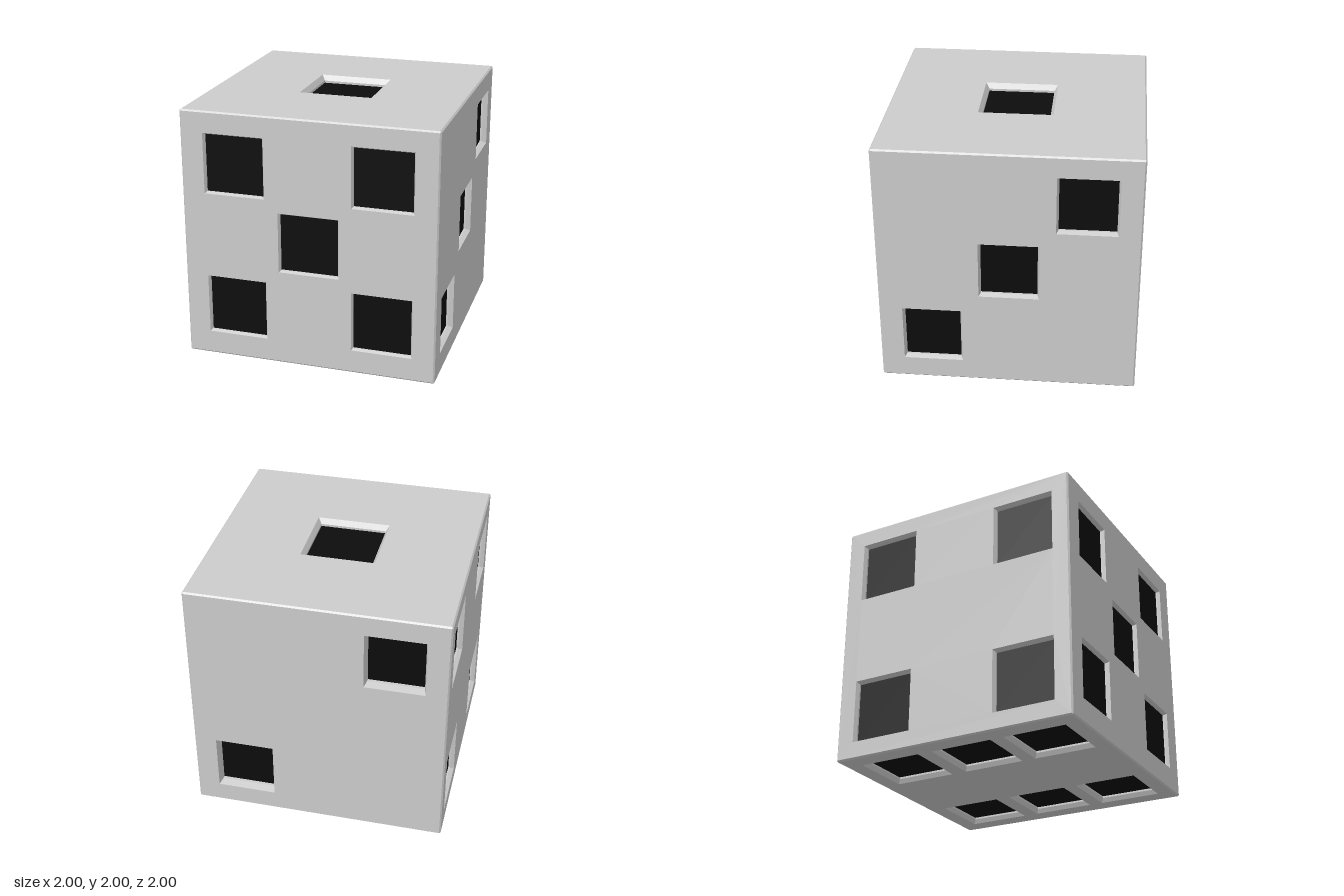
import * as THREE from 'three';

const grey = new THREE.MeshStandardMaterial({ color: 0xcccccc, flatShading: true, side: THREE.DoubleSide });
const black = new THREE.MeshStandardMaterial({ color: 0x0c0c0c });
const BEVEL = 0.012;

// Each face is drawn looking straight at it; pips are [u, v] from the face centre.
const faces = [
  { name: 'front', rot: [0, 0, 0], half: 0.24, inset: 0.012, depth: 0.035,
    pips: [[-0.58, 0.59], [0.58, 0.59], [0.005, 0.01], [-0.58, -0.57], [0.58, -0.57]] },
  { name: 'back', rot: [0, Math.PI, 0], half: 0.232, inset: 0.015, depth: 0.085,
    pips: [[0.595, 0.6], [-0.592, -0.603]] },
  { name: 'right', rot: [0, Math.PI / 2, 0], half: 0.232, inset: 0.015, depth: 0.053,
    pips: [[-0.587, -0.593], [0.01, 0.015], [0.595, 0.598]] },
  { name: 'left', rot: [0, -Math.PI / 2, 0], half: 0.252, inset: 0.015, depth: 0.045,
    pips: [[-0.605, 0.61], [0.61, 0.61], [-0.605, -0.61], [0.61, -0.61]] },
  { name: 'top', rot: [-Math.PI / 2, 0, 0], half: 0.29, inset: 0.027, depth: 0.06, pips: [[0, 0]] },
  { name: 'bottom', rot: [Math.PI / 2, 0, 0], half: 0.25, inset: 0.018, depth: 0.05,
    pips: [[0.6, -0.61], [0.6, 0.01], [0.6, 0.62], [-0.6, -0.61], [-0.6, 0.01], [-0.6, 0.62]] },
];

function addMesh(parent, name, geometry, material, x = 0, y = 0, z = 0) {
  const mesh = new THREE.Mesh(geometry, material);
  mesh.name = name;
  mesh.position.set(x, y, z);
  parent.add(mesh);
}

// Open square frustum whose axis is z, from z = 0 down to z = -depth
function squareRing(outerHalf, innerHalf, depth) {
  return new THREE.CylinderGeometry(outerHalf * Math.SQRT2, innerHalf * Math.SQRT2, depth, 4, 1, true)
    .rotateY(Math.PI / 4)
    .rotateX(Math.PI / 2)
    .translate(0, 0, -depth / 2);
}

function square(path, x, y, h) {
  path.moveTo(x - h, y - h);
  path.lineTo(x + h, y - h);
  path.lineTo(x + h, y + h);
  path.lineTo(x - h, y + h);
  path.closePath();
  return path;
}

function createFace({ name, rot, half, inset, depth, pips }) {
  const face = new THREE.Group();
  face.name = name + 'Face';
  face.rotation.set(...rot);

  // Flat plate with a square hole for each pip
  const plate = square(new THREE.Shape(), 0, 0, 1 - BEVEL);
  for (const [u, v] of pips) plate.holes.push(square(new THREE.Path(), u, v, half));
  addMesh(face, name + 'Plate', new THREE.ShapeGeometry(plate), grey, 0, 0, 1);

  // This face's half of the bevel along the cube edges
  addMesh(face, name + 'EdgeBevel', squareRing(1 - BEVEL, 1 - BEVEL / 2, BEVEL / 2), grey, 0, 0, 1);

  // Recessed pips: sloped rim, short straight wall and dark floor
  const inner = half - inset;
  const slope = depth * 0.7;
  for (const [u, v] of pips) {
    addMesh(face, 'pipRim', squareRing(half, inner, slope), grey, u, v, 1);
    addMesh(face, 'pipWall', squareRing(inner, inner, depth - slope), grey, u, v, 1 - slope);
    addMesh(face, 'pipFloor', new THREE.PlaneGeometry(2 * inner, 2 * inner), black, u, v, 1 - depth);
  }
  return face;
}

export function createModel() {
  const die = new THREE.Group();
  die.name = 'die';
  for (const spec of faces) die.add(createFace(spec));
  die.children.forEach((face) => { face.position.y = 1; });
  return die;
}
